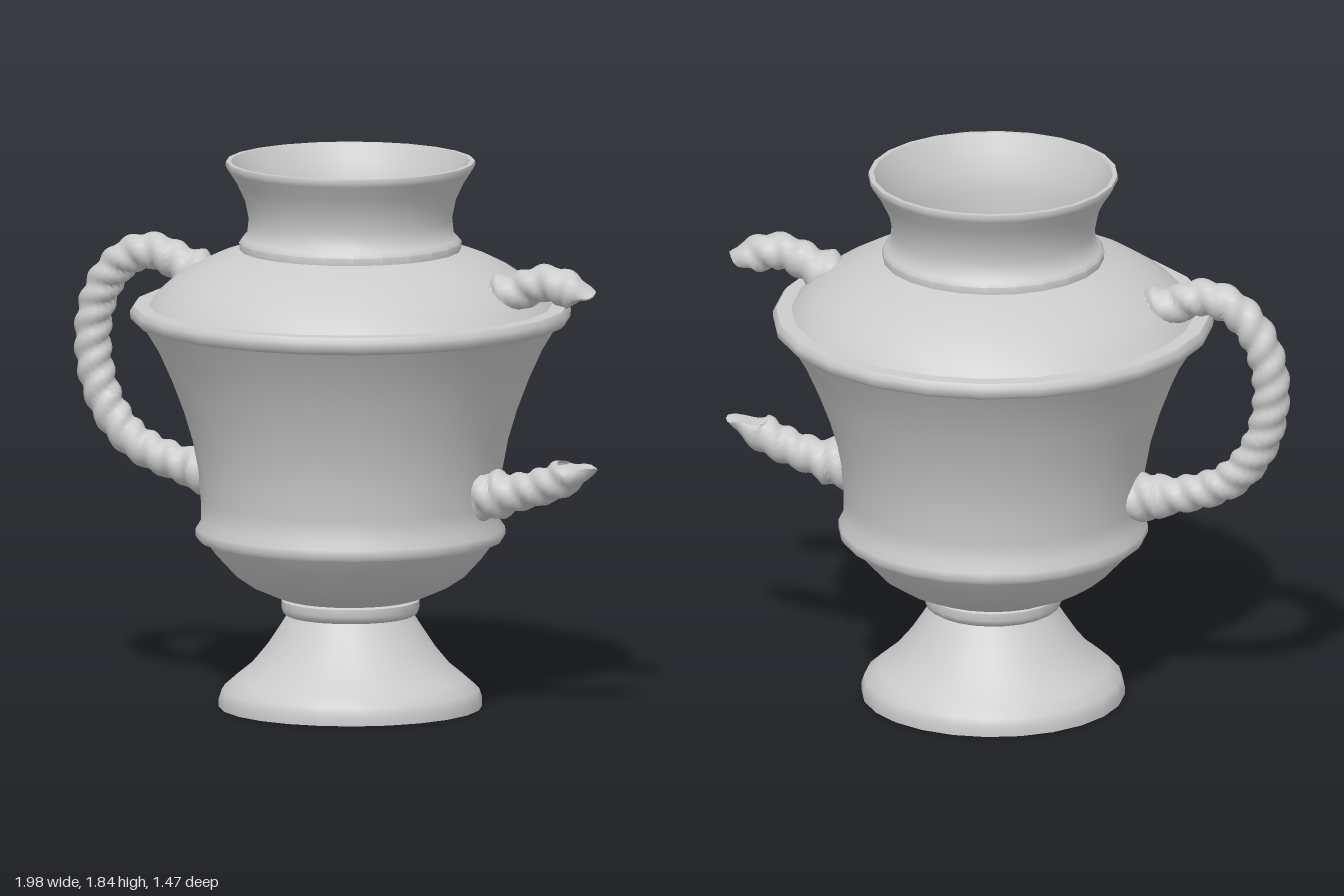
import * as THREE from 'three';
import { toCreasedNormals } from 'three/addons/utils/BufferGeometryUtils.js';

const AXIS = 0.04; // x of the vase axis
const SIDES = 16;

// Centre line of a handle on the -x side, from shoulder to lower body
const HANDLE = [
  [-0.48, 1.39], [-0.60, 1.45], [-0.70, 1.485], [-0.80, 1.46], [-0.88, 1.38], [-0.925, 1.27],
  [-0.935, 1.15], [-0.91, 1.02], [-0.86, 0.92], [-0.78, 0.84], [-0.65, 0.785], [-0.45, 0.745],
];

function makeCurve(mirrored, reversed) {
  const pts = HANDLE.map(([x, y]) => new THREE.Vector3(mirrored ? 2 * AXIS - x : x, y, 0));
  return new THREE.CatmullRomCurve3(reversed ? pts.reverse() : pts);
}

// Two-strand rope swept along the first part of a curve; a broken end gets a ragged cap
function makeRope(name, curve, end, material, jag) {
  const group = new THREE.Group();
  group.name = name;
  const total = curve.getLength();
  const steps = Math.round(total * end / 0.01);
  const B = new THREE.Vector3(0, 0, 1);
  const pos = [], idx = [];
  for (let i = 0; i <= steps; i++) {
    const u = end * i / steps, s = u * total;
    const P = curve.getPointAt(u), T = curve.getTangentAt(u);
    const N = new THREE.Vector3().crossVectors(B, T);
    const root = Math.max(0, Math.min(s, total - s) - 0.09);
    const flare = 1 + 0.3 * Math.exp(-root / 0.025); // spreads into the body
    const broken = jag ? Math.max(0, 1 - (steps - i) / 4) : 0;
    for (let j = 0; j <= SIDES; j++) {
      const a = j / SIDES * Math.PI * 2;
      const r = (0.051 + 0.014 * Math.abs(Math.cos(a - s * Math.PI / 0.08))) * flare * (1 - 0.12 * broken);
      const p = P.clone().addScaledVector(N, r * Math.cos(a)).addScaledVector(B, r * Math.sin(a));
      if (broken) p.addScaledVector(T, broken * (jag * Math.cos(a) + 0.008 * Math.sin(3 * a)));
      pos.push(p.x, p.y, p.z);
      if (i < steps && j < SIDES) {
        const k = i * (SIDES + 1) + j, n = k + SIDES + 1;
        idx.push(k, k + 1, n, k + 1, n + 1, n);
      }
    }
  }
  group.add(meshFrom(name + 'Rope', pos, idx, material));
  if (jag) {
    const ring = pos.slice(-(SIDES + 1) * 3);
    const c = curve.getPointAt(end);
    const capIdx = [];
    for (let j = 0; j < SIDES; j++) capIdx.push(SIDES + 1, j, j + 1);
    group.add(meshFrom(name + 'BrokenEnd', [...ring, c.x, c.y, c.z], capIdx, material));
  }
  return group;
}

function meshFrom(name, pos, idx, material) {
  const g = new THREE.BufferGeometry();
  g.setAttribute('position', new THREE.Float32BufferAttribute(pos, 3));
  g.setIndex(idx);
  const mesh = new THREE.Mesh(toCreasedNormals(g, 1.0), material);
  mesh.name = name;
  return mesh;
}

function lathe(name, profile, material) {
  const g = new THREE.LatheGeometry(profile.map(([r, y]) => new THREE.Vector2(r, y)), 24);
  const mesh = new THREE.Mesh(toCreasedNormals(g, 0.75), material);
  mesh.name = name;
  mesh.position.x = AXIS;
  return mesh;
}

export function createModel() {
  const model = new THREE.Group();
  model.name = 'vase';
  const clay = new THREE.MeshStandardMaterial({ color: 0xcccccc, side: THREE.DoubleSide });

  // Foot with a flared base and a small collar
  model.add(lathe('foot', [
    [0, 0], [0.44, 0], [0.44, 0.03], [0.43, 0.06], [0.39, 0.095], [0.335, 0.14], [0.285, 0.2],
    [0.245, 0.26], [0.213, 0.31], [0.224, 0.317], [0.231, 0.335], [0.23, 0.36], [0.20, 0.375],
  ], clay));

  // Bowl, flared body, shoulder, neck and the inner wall down to the floor
  model.add(lathe('body', [
    [0.20, 0.36], [0.25, 0.375], [0.33, 0.41], [0.39, 0.45], [0.45, 0.515], [0.487, 0.565],
    [0.51, 0.567], [0.518, 0.58], [0.517, 0.605], [0.50, 0.63], [0.50, 0.70], [0.508, 0.80],
    [0.527, 0.90], [0.557, 1.00], [0.595, 1.10], [0.64, 1.20], [0.698, 1.295],
    [0.72, 1.30], [0.735, 1.315], [0.737, 1.34], [0.725, 1.357], [0.675, 1.358],
    [0.65, 1.39], [0.60, 1.435], [0.54, 1.475], [0.46, 1.515], [0.37, 1.545],
    [0.372, 1.57], [0.36, 1.585], [0.345, 1.60], [0.34, 1.65], [0.352, 1.71], [0.38, 1.77],
    [0.41, 1.815], [0.418, 1.83], [0.416, 1.843], [0.40, 1.843],
    [0.37, 1.785], [0.342, 1.72], [0.328, 1.66], [0.328, 1.56], [0.42, 1.50], [0.53, 1.44],
    [0.62, 1.37], [0.645, 1.30], [0.59, 1.18], [0.52, 1.00], [0.475, 0.80], [0.465, 0.62],
    [0.42, 0.53], [0.33, 0.45], [0.22, 0.41], [0.185, 0.40], [0.168, 0.385], [0.165, 0.35], [0, 0.35],
  ], clay));

  // Whole handle on one side, two broken stubs on the other
  model.add(makeRope('rightHandle', makeCurve(false, false), 1, clay, 0));
  model.add(makeRope('leftUpperStub', makeCurve(true, false), 0.275, clay, 0.022));
  model.add(makeRope('leftLowerStub', makeCurve(true, true), 0.282, clay, -0.055));
  return model;
}
